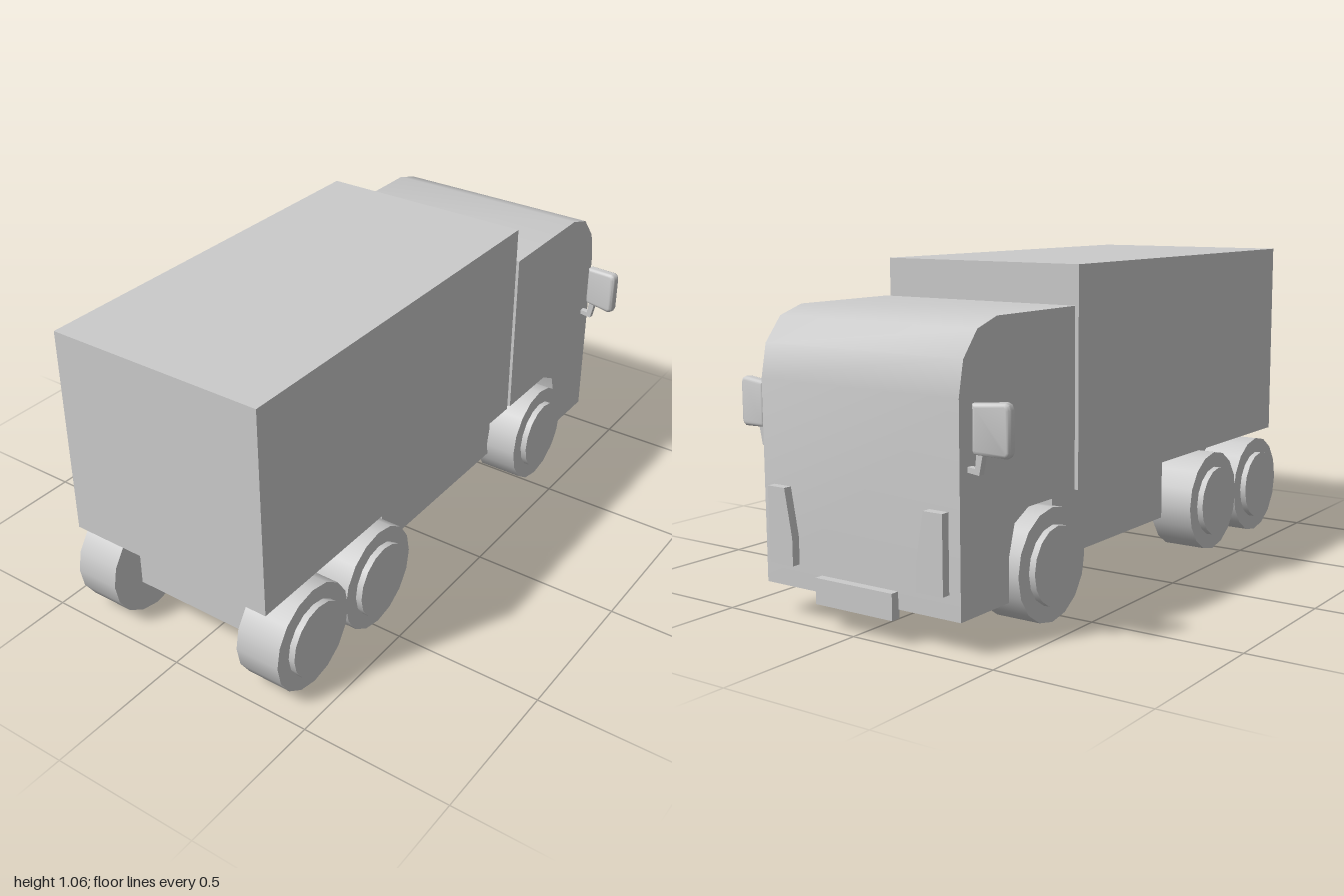
import * as THREE from 'three';
import { toCreasedNormals } from 'three/addons/utils/BufferGeometryUtils.js';

const material = new THREE.MeshStandardMaterial({ color: 0xcccccc });

function addMesh(parent, name, geometry) {
  const mesh = new THREE.Mesh(geometry, material);
  mesh.name = name;
  parent.add(mesh);
  return mesh;
}

const toShape = (points) => new THREE.Shape(points.map(([a, b]) => new THREE.Vector2(a, b)));

// Box from its minimum and maximum corners
function addBox(parent, name, [x0, y0, z0], [x1, y1, z1]) {
  const geometry = new THREE.BoxGeometry(x1 - x0, y1 - y0, z1 - z0);
  geometry.translate((x0 + x1) / 2, (y0 + y1) / 2, (z0 + z1) / 2);
  return addMesh(parent, name, geometry);
}

// Outline in the (z, y) plane, extruded along x and centred on x = 0
function extrudeAcross(points, depth, bevel = 0) {
  const core = depth - 2 * bevel;
  const geometry = new THREE.ExtrudeGeometry(toShape(points), {
    depth: core, bevelEnabled: bevel > 0, bevelThickness: bevel,
    bevelSize: bevel, bevelOffset: -bevel, bevelSegments: 3,
  });
  geometry.translate(0, 0, -core / 2).rotateY(-Math.PI / 2);
  return toCreasedNormals(geometry, 0.8);
}

function addWheel(parent, x, side) {
  const wheel = new THREE.Group();
  wheel.name = 'wheel';
  wheel.position.set(x, 0.177, side * 0.324);
  const tyre = new THREE.CylinderGeometry(0.176, 0.176, 0.154, 16).rotateX(Math.PI / 2);
  addMesh(wheel, 'tyre', tyre);
  const hub = new THREE.CylinderGeometry(0.123, 0.123, 0.06, 16).rotateX(Math.PI / 2);
  addMesh(wheel, 'hub', hub).position.z = side * 0.068;
  parent.add(wheel);
}

function addWingMirror(parent, side) {
  const mirror = new THREE.Group();
  mirror.name = 'wingMirror';

  // Housing, outer end swept back
  const outline = [[-0.057, 0.07], [0.043, 0.077], [0.055, 0.071], [0.06, 0.057],
    [0.06, -0.06], [0.055, -0.071], [0.045, -0.077], [-0.052, -0.071], [-0.057, -0.06]];
  const housing = addMesh(mirror, 'mirrorHousing',
    extrudeAcross(outline.map(([z, y]) => [side * z, y]), 0.038, 0.012));
  housing.position.set(0.918, 0.64, side * 0.445);
  housing.rotation.y = -side * 0.18;

  // Bent bracket down to the cab side
  const bracket = [[0.424, 0.58], [0.41, 0.512], [0.36, 0.518], [0.36, 0.533],
    [0.396, 0.53], [0.402, 0.58]];
  addMesh(mirror, 'mirrorBracket',
    extrudeAcross(bracket.map(([z, y]) => [side * z, y]), 0.022)).position.x = 0.924;
  parent.add(mirror);
}

export function createModel() {
  const truck = new THREE.Group();
  truck.name = 'truck';

  // Cargo box and stepped chassis
  addBox(truck, 'cargoBox', [-1, 0.366, -0.37], [0.376, 1.058, 0.37]);
  addBox(truck, 'chassis', [-0.294, 0.135, -0.29], [0.4, 0.348, 0.29]);
  addBox(truck, 'rearChassis', [-0.885, 0.135, -0.235], [-0.294, 0.348, 0.235]);

  // Cab side profile with rounded roof front and wheel arch
  const profile = [[0.396, 0.366], [0.644, 0.366], [0.714, 0.33], [0.743, 0.233], [0.743, 0.1],
    [0.97, 0.1], [0.97, 0.725], [0.949, 0.829], [0.885, 0.906], [0.794, 0.935], [0.396, 0.935]];
  const cab = new THREE.ExtrudeGeometry(toShape(profile), { depth: 0.74, bevelEnabled: false });
  cab.translate(0, 0, -0.37);
  addMesh(truck, 'cab', toCreasedNormals(cab, 0.75));

  // Number plate panel on the nose
  addBox(truck, 'frontPlate', [0.965, 0.073, -0.146], [0.998, 0.153, 0.146]);

  for (const side of [1, -1]) {
    const lamp = [[0.33, 0.408], [0.263, 0.408], [0.236, 0.258], [0.236, 0.173], [0.33, 0.173]];
    addMesh(truck, 'headlight',
      extrudeAcross(lamp.map(([z, y]) => [side * z, y]), 0.032)).position.x = 0.982;
    addWingMirror(truck, side);
    for (const x of [-0.818, -0.476, 0.564]) addWheel(truck, x, side);
  }
  return truck;
}
